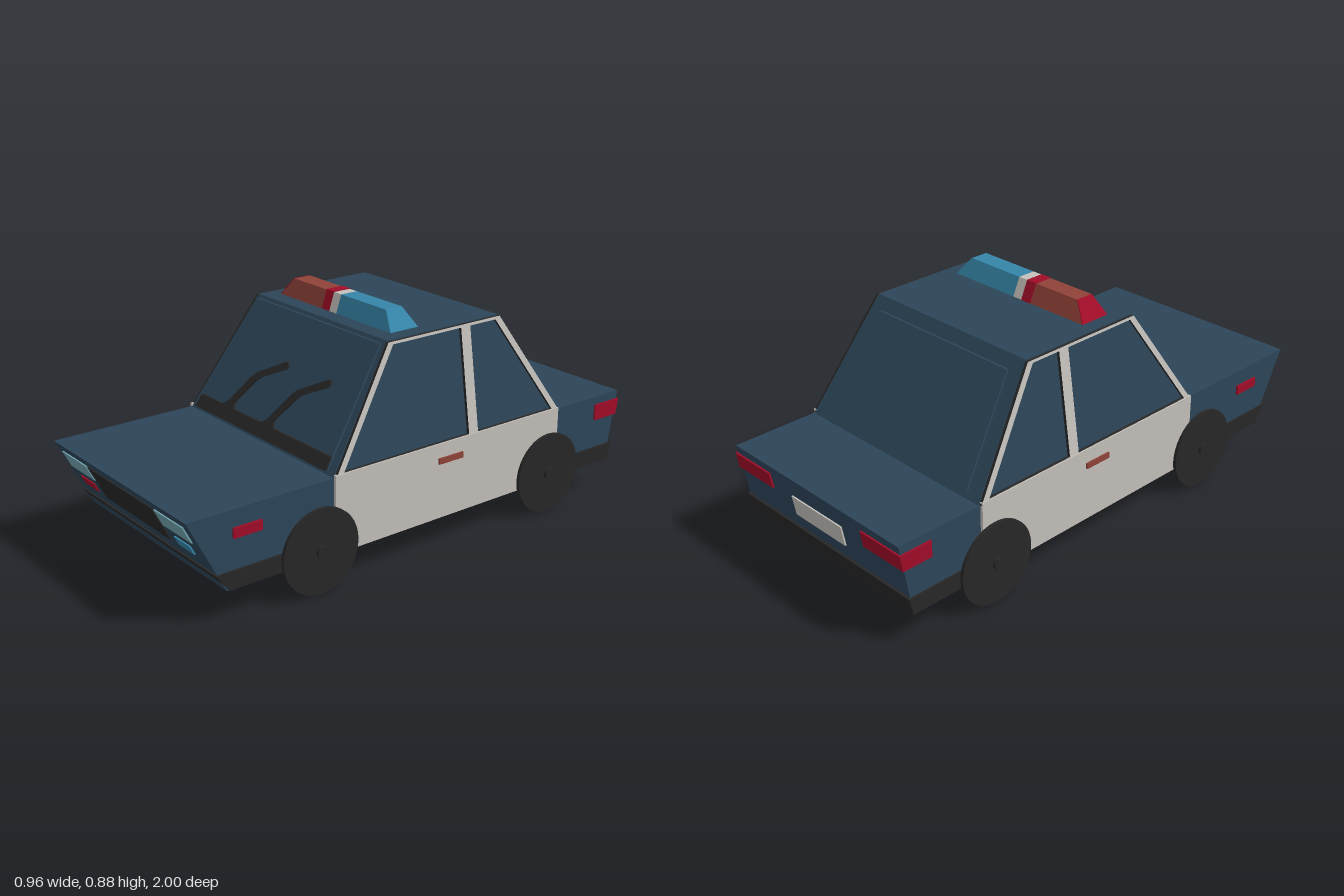
import * as THREE from 'three';

const paint = (name, color) => {
  const m = new THREE.MeshStandardMaterial({ color });
  m.name = name;
  return m;
};

export function createModel() {
  const navy = paint('navy body', 0x2c4558);
  const white = paint('off white', 0xc4c0bb);
  const black = paint('rubber black', 0x282727);
  const blue = paint('beacon blue', 0x3585a8);
  const brick = paint('brick red', 0x8f4238);
  const crimson = paint('crimson', 0xa00c28);
  const lampGlass = paint('pale lamp glass', 0x6fa3ad);

  const car = new THREE.Group();
  car.name = 'patrolCar';
  const add = (name, geo, mat) => {
    const mesh = new THREE.Mesh(geo, mat);
    mesh.name = name;
    car.add(mesh);
    return mesh;
  };

  // Six-sided solid between a lower and an upper rectangle [x0, x1, z0, z1]
  const frustum = (lo, y0, hi, y1) => {
    const g = new THREE.BoxGeometry(1, 1, 1);
    const p = g.attributes.position;
    for (let i = 0; i < p.count; i++) {
      const r = p.getY(i) > 0 ? hi : lo;
      p.setXYZ(i, r[p.getX(i) > 0 ? 1 : 0], p.getY(i) > 0 ? y1 : y0, r[p.getZ(i) > 0 ? 3 : 2]);
    }
    g.computeVertexNormals();
    return g;
  };

  // Lean a part so that it lies on a sloping panel
  const lean = (g, axis, at) => {
    const p = g.attributes.position;
    for (let i = 0; i < p.count; i++) {
      const d = at(p.getY(i));
      if (axis === 'z') p.setZ(i, p.getZ(i) + d);
      else p.setX(i, p.getX(i) + d);
    }
    g.computeVertexNormals();
    return g;
  };
  const slope = (y0, a0, y1, a1) => (y) => a0 + ((y - y0) * (a1 - a0)) / (y1 - y0);
  const nose = slope(0.12, 0.857, 0.4, 1);
  const tail = slope(0.12, -0.95, 0.4, -1);
  const screen = slope(0.4, 0.42, 0.81, 0.14);
  const rearScreen = slope(0.4, -0.66, 0.81, -0.38);
  const flank = slope(0.4, 0.442, 0.81, 0.38);
  const plate = (x0, x1, y0, y1, at, t = 0.012) => {
    const g = new THREE.BoxGeometry(x1 - x0, y1 - y0, t);
    g.translate((x0 + x1) / 2, (y0 + y1) / 2, 0);
    return lean(g, 'z', at);
  };
  const outline = (pts) => new THREE.Shape(pts.map(([a, b]) => new THREE.Vector2(a, b)));
  const extrude = (shape, depth) =>
    new THREE.ExtrudeGeometry(shape, { depth, bevelEnabled: false, curveSegments: 8 });

  // Lower body and cabin
  add('lowerBody', frustum([-0.445, 0.445, -0.95, 0.857], 0.12, [-0.445, 0.445, -1, 1], 0.4), navy);
  add('cabin', frustum([-0.442, 0.442, -0.66, 0.42], 0.4, [-0.38, 0.38, -0.38, 0.14], 0.812), navy);

  // Bumpers wrapping round to the wheels
  add('frontBumper', frustum([-0.453, 0.453, 0.4, 0.85], 0.122, [-0.453, 0.453, 0.4, 0.9], 0.188), black);
  add('rearBumper', frustum([-0.453, 0.453, -0.957, -0.6], 0.122, [-0.453, 0.453, -0.972, -0.6], 0.188), black);

  // Front fittings
  add('grille', plate(-0.215, 0.215, 0.235, 0.37, nose), black);
  add('rightIndicator', plate(-0.37, -0.275, 0.24, 0.275, nose), crimson);
  add('leftIndicator', plate(0.27, 0.365, 0.24, 0.275, nose), blue);
  for (const s of [-1, 1]) {
    const x = s * 0.3175;
    add('headlight', plate(x - 0.0875, x + 0.0875, 0.305, 0.37, nose), lampGlass);
  }

  // Rear fittings
  add('numberPlate', plate(-0.135, 0.135, 0.245, 0.325, tail), white);

  // Windscreen panels, a little proud of the cabin
  const trapezoid = (w0, y0, w1, y1) => outline([[-w0, y0], [w0, y0], [w1, y1], [-w1, y1]]);
  add('windscreen', lean(extrude(trapezoid(0.405, 0.415, 0.365, 0.8), 0.01), 'z', screen), navy);
  const back = extrude(trapezoid(0.38, 0.42, 0.33, 0.77), 0.01);
  back.translate(0, 0, -0.01);
  add('rearWindow', lean(back, 'z', rearScreen), navy);

  // Wiper strip and two bent wipers
  const onScreen = (y) => screen(y) + 0.01;
  add('wiperStrip', lean(extrude(trapezoid(0.408, 0.415, 0.402, 0.457), 0.008), 'z', onScreen), black);
  for (const x of [0, 0.25]) {
    const s = new THREE.Shape();
    s.moveTo(x - 0.3, 0.45);
    s.quadraticCurveTo(x - 0.255, 0.455, x - 0.235, 0.48);
    s.lineTo(x - 0.185, 0.56);
    s.quadraticCurveTo(x - 0.172, 0.583, x - 0.15, 0.595);
    s.lineTo(x - 0.035, 0.653);
    s.quadraticCurveTo(x - 0.012, 0.656, x - 0.014, 0.632);
    s.lineTo(x - 0.12, 0.582);
    s.quadraticCurveTo(x - 0.14, 0.572, x - 0.152, 0.552);
    s.lineTo(x - 0.195, 0.487);
    s.quadraticCurveTo(x - 0.205, 0.465, x - 0.17, 0.45);
    add('wiper', lean(extrude(s, 0.008), 'z', onScreen), black);
  }

  // Window frame outline (z, y) with two openings
  const frame = outline([[0.415, 0.4], [0.142, 0.808], [-0.382, 0.808], [-0.655, 0.4]]);
  frame.holes.push(
    outline([[0.38, 0.412], [0.122, 0.798], [-0.192, 0.798], [-0.192, 0.412]]),
    outline([[-0.236, 0.412], [-0.236, 0.798], [-0.36, 0.798], [-0.618, 0.412]]),
  );

  for (const s of [-1, 1]) {
    // Side frame: white face, black edges
    const g = extrude(frame, 0.012);
    g.rotateY(s * Math.PI / 2);
    const p = g.attributes.position;
    if (s > 0) {
      // Turn the outline round so that its front end points to +z
      for (let i = 0; i < p.count; i++) {
        p.setZ(i, -p.getZ(i));
        p.setX(i, 0.012 - p.getX(i));
      }
    }
    add('sideWindowFrame', lean(g, 'x', (y) => s * flank(y)), [white, black]);

    // Doors, handle, marker and wrapped tail lamp
    const box = (name, x, y, z, w, h, d, mat) => {
      const b = new THREE.BoxGeometry(w, h, d);
      b.translate(s * x, y, z);
      add(name, b, mat);
    };
    box('doorPanel', 0.45, 0.2655, -0.117, 0.012, 0.289, 1.07, white);
    box('doorHandle', 0.455, 0.345, -0.1, 0.016, 0.022, 0.115, brick);
    box('sideMarker', 0.447, 0.319, 0.772, 0.014, 0.036, 0.112, crimson);
    const x0 = s > 0 ? 0.25 : -0.452;
    add('tailLampRear', plate(x0, x0 + 0.202, 0.305, 0.368, tail, 0.014), crimson);
    box('tailLampSide', 0.446, 0.3365, -0.93, 0.012, 0.063, 0.122, crimson);

    // Thin disc wheels with small hubs
    for (const z of [0.49, -0.6]) {
      const wheel = new THREE.Group();
      wheel.name = z > 0 ? 'frontWheel' : 'rearWheel';
      const disc = new THREE.Mesh(new THREE.CylinderGeometry(0.158, 0.158, 0.013, 40), black);
      disc.name = 'tyre';
      const hub = new THREE.Mesh(new THREE.CylinderGeometry(0.023, 0.023, 0.036, 16), black);
      hub.name = 'hub';
      wheel.add(disc, hub);
      wheel.rotation.z = Math.PI / 2;
      wheel.position.set(s * 0.463, 0.158, z);
      car.add(wheel);
    }
  }

  // Roof light bar in sections along x
  const bar = (name, b0, b1, t0, t1, mat, e = 0) =>
    add(name, frustum([b0, b1, -0.052 - e, 0.076], 0.81, [t0, t1, -0.02 - e, 0.052], 0.88 + e), mat);
  bar('redBeacon', -0.325, -0.025, -0.27, -0.025, brick);
  bar('beaconDivider', -0.025, 0.017, -0.025, 0.017, white);
  bar('blueBeacon', 0.017, 0.325, 0.017, 0.27, blue);
  bar('redBeaconEnd', -0.329, -0.325, -0.274, -0.27, crimson);
  bar('redBeaconBand', -0.07, -0.025, -0.07, -0.025, crimson, 0.002);

  return car;
}
